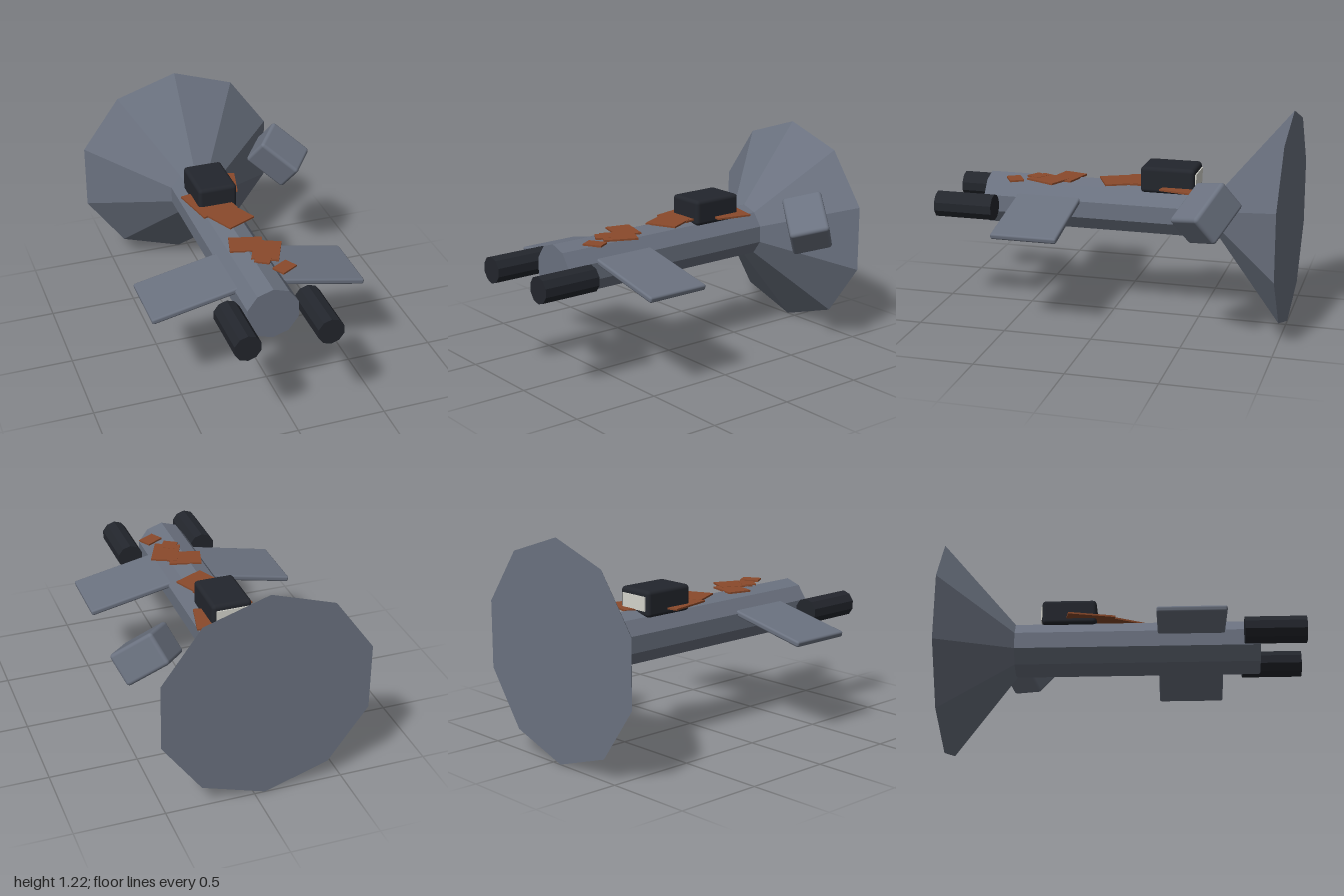
import * as THREE from 'three';
import { RoundedBoxGeometry } from 'three/addons/geometries/RoundedBoxGeometry.js';

const CX = -0.06, CY = 0.613; // hull axis

const material = (color, flatShading = false) => new THREE.MeshStandardMaterial({ color, flatShading });

export function createModel() {
  const model = new THREE.Group();
  const slate = material(0x6b7280), slateFlat = material(0x6b7280, true);
  const dark = material(0x23262d), darkFlat = material(0x23262d, true);
  const rust = material(0x8b4a2b, true), pale = material(0xd4d4cc);

  const add = (name, geometry, mat, x, y, z) => {
    const mesh = new THREE.Mesh(geometry, mat);
    mesh.name = name;
    mesh.position.set(x, y, z);
    model.add(mesh);
    return mesh;
  };

  // Ten-sided tube along z, from zBack to zFront
  const tube = (name, rFront, rBack, zFront, zBack, x, mat) =>
    add(name, new THREE.CylinderGeometry(rFront, rBack, zFront - zBack, 10).rotateX(Math.PI / 2),
      mat, x, CY, (zFront + zBack) / 2);

  tube('hull', 0.152, 0.152, 0.75, -0.62, CX, slateFlat);
  tube('rearCone', 0.152, 0.609, -0.62, -1, CX, slateFlat);

  // Mirrored wings and front pods
  for (const [side, s] of [['left', 1], ['right', -1]]) {
    tube(side + 'Pod', 0.076, 0.076, 1, 0.66, CX + s * 0.228, darkFlat);
    const wing = add(side + 'Wing', new RoundedBoxGeometry(0.55, 0.034, 0.375, 2, 0.012), slate,
      CX + s * 0.337, 0.617, 0.368);
    wing.rotation.z = -s * 0.206;
  }

  // Cabin with a pale rear window
  add('cabin', new RoundedBoxGeometry(0.228, 0.148, 0.308, 3, 0.022), dark, CX, 0.804, -0.318);
  add('rearWindow', new THREE.BoxGeometry(0.18, 0.08, 0.02), pale, CX, 0.806, -0.469);

  // Loose block, turned on all three axes
  const u = new THREE.Vector3(0.694, -0.6, 0.396).normalize();
  const w = u.clone().cross(new THREE.Vector3(-0.368, -0.77, -0.523)).normalize();
  const v = w.clone().cross(u);
  add('looseBlock', new RoundedBoxGeometry(0.28, 0.19, 0.225, 3, 0.02), slate, 0.473, 0.765, -0.625)
    .setRotationFromMatrix(new THREE.Matrix4().makeBasis(u, v, w));

  // Rust patches along the ridge: x, z, width, depth, turn
  [
    [0.02, -0.41, 0.21, 0.21, -0.23],
    [-0.1, -0.21, 0.22, 0.27, 0.21],
    [-0.035, -0.02, 0.185, 0.19, 0.44],
    [-0.05, 0.285, 0.185, 0.14, -0.26],
    [0.035, 0.38, 0.15, 0.19, -0.43],
    [-0.01, 0.455, 0.085, 0.085, -0.55],
    [0.07, 0.565, 0.108, 0.08, 0.52],
  ].forEach(([x, z, width, depth, turn], i) => {
    add('rustPatch' + (i + 1), new THREE.BoxGeometry(width, 0.01, depth), rust, x, 0.764 + (i % 3) * 0.0015, z)
      .rotation.y = turn;
  });

  return model;
}
